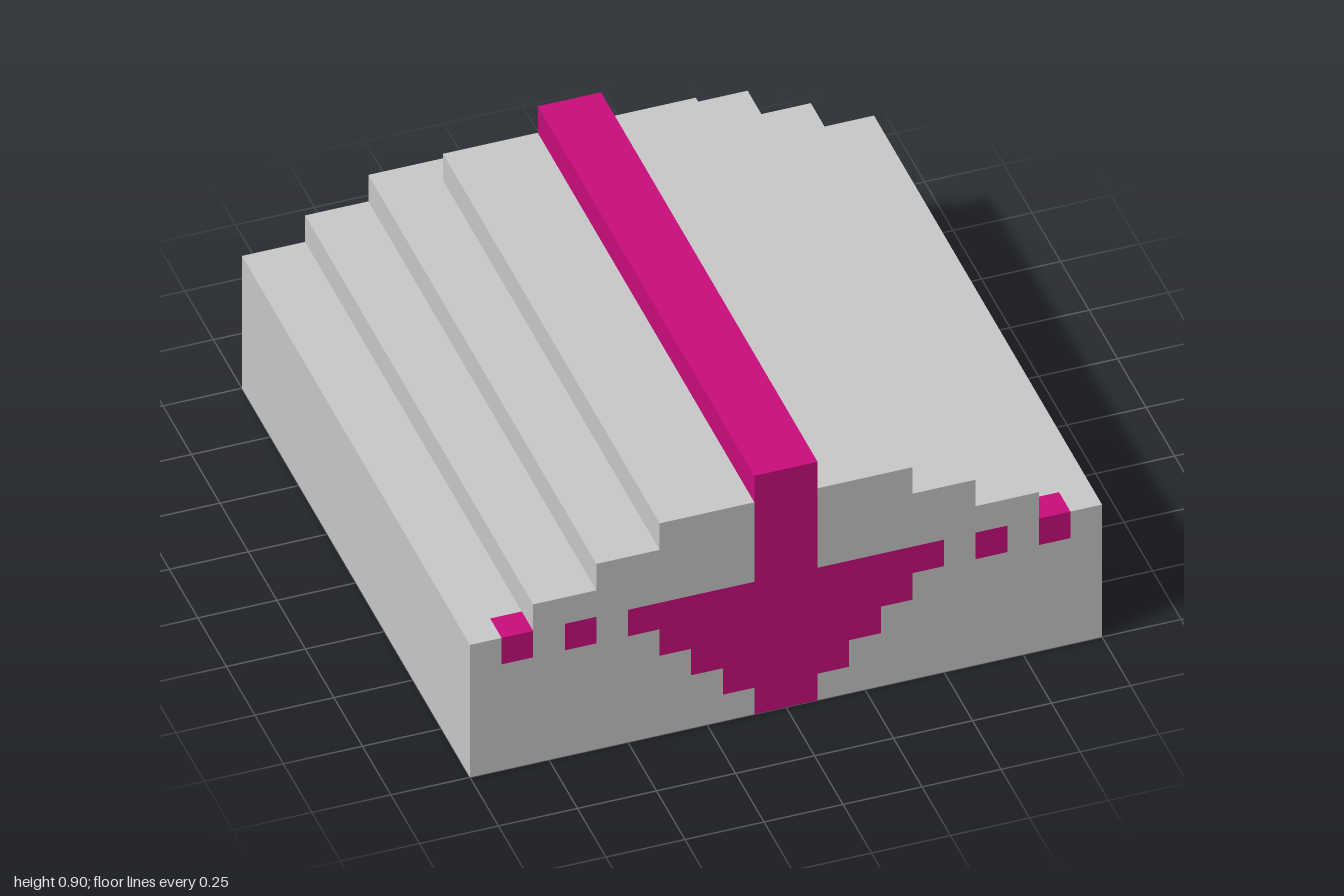
import * as THREE from 'three';

const stone = new THREE.MeshStandardMaterial({ color: 0xc9c9c9 });
stone.name = 'light grey';
const accent = new THREE.MeshStandardMaterial({ color: 0xca0c7d });
accent.name = 'magenta';

const FRONT = 1, INLAY = 0.9, BACK = -1; // z of the front face, inlay back and rear face

export function createModel() {
  const model = new THREE.Group();
  model.name = 'steppedBlock';

  const add = (name, geometry, material) => {
    const mesh = new THREE.Mesh(geometry, material);
    mesh.name = name;
    model.add(mesh);
  };
  const box = (name, x0, x1, y0, y1, z0, z1, material) => {
    const g = new THREE.BoxGeometry(x1 - x0, y1 - y0, z1 - z0);
    g.translate((x0 + x1) / 2, (y0 + y1) / 2, (z0 + z1) / 2);
    add(name, g, material);
  };
  const toPoints = (pts, s = 1) => pts.map(([x, y]) => new THREE.Vector2(s * x, y));
  const mirrored = (pts) => [...pts, ...pts.map(([x, y]) => [-x, y]).reverse()];
  const extrude = (shape, z0, z1) =>
    new THREE.ExtrudeGeometry(shape, { depth: z1 - z0, bevelEnabled: false }).translate(0, 0, z0);

  // Stepped body behind the inlaid front layer
  const steps = [[1, 0], [1, 0.5], [0.8, 0.5], [0.8, 0.6], [0.6, 0.6], [0.6, 0.7]];
  add('steppedBody', extrude(new THREE.Shape(toPoints(mirrored(steps))), BACK, INLAY), stone);

  // Top slab, set in from the rear, and the ridge along it
  box('topSlab', -0.4, 0.4, 0.7, 0.8, -0.9, INLAY, stone);
  box('ridge', -0.1, 0.1, 0.8, 0.9, -0.9, FRONT, accent);

  // Front layer: each half is cut out around the emblem and studs
  const frontHalf = [
    [0.1, 0], [1, 0], [1, 0.5], [0.9, 0.5], [0.9, 0.4], [0.8, 0.4],
    [0.8, 0.6], [0.6, 0.6], [0.6, 0.7], [0.4, 0.7], [0.4, 0.8], [0.1, 0.8],
    [0.1, 0.5], [0.5, 0.5], [0.5, 0.4], [0.4, 0.4], [0.4, 0.3], [0.3, 0.3],
    [0.3, 0.2], [0.2, 0.2], [0.2, 0.1], [0.1, 0.1],
  ];
  const studHole = [[0.6, 0.4], [0.6, 0.5], [0.7, 0.5], [0.7, 0.4]];
  for (const [side, s] of [['left', 1], ['right', -1]]) {
    const shape = new THREE.Shape(toPoints(frontHalf, s));
    shape.holes.push(new THREE.Path(toPoints(studHole, s)));
    add(`${side}FrontPanel`, extrude(shape, INLAY, FRONT), stone);

    // Square studs beside the emblem
    for (const [name, x] of [['Inner', 0.65], ['Outer', 0.85]]) {
      box(`${side}${name}Stud`, s * x - 0.05, s * x + 0.05, 0.4, 0.5, INLAY, FRONT, accent);
    }
  }

  // Emblem: inverted stepped triangle with a stem up to the ridge
  const emblem = [[0.1, 0]];
  for (let i = 1; i <= 4; i++) emblem.push([i / 10, i / 10], [(i + 1) / 10, i / 10]);
  emblem.push([0.5, 0.5], [0.1, 0.5], [0.1, 0.8]);
  emblem.splice(1, 0);
  add('frontEmblem', extrude(new THREE.Shape(toPoints(mirrored(emblem))), INLAY, FRONT), accent);

  return model;
}
